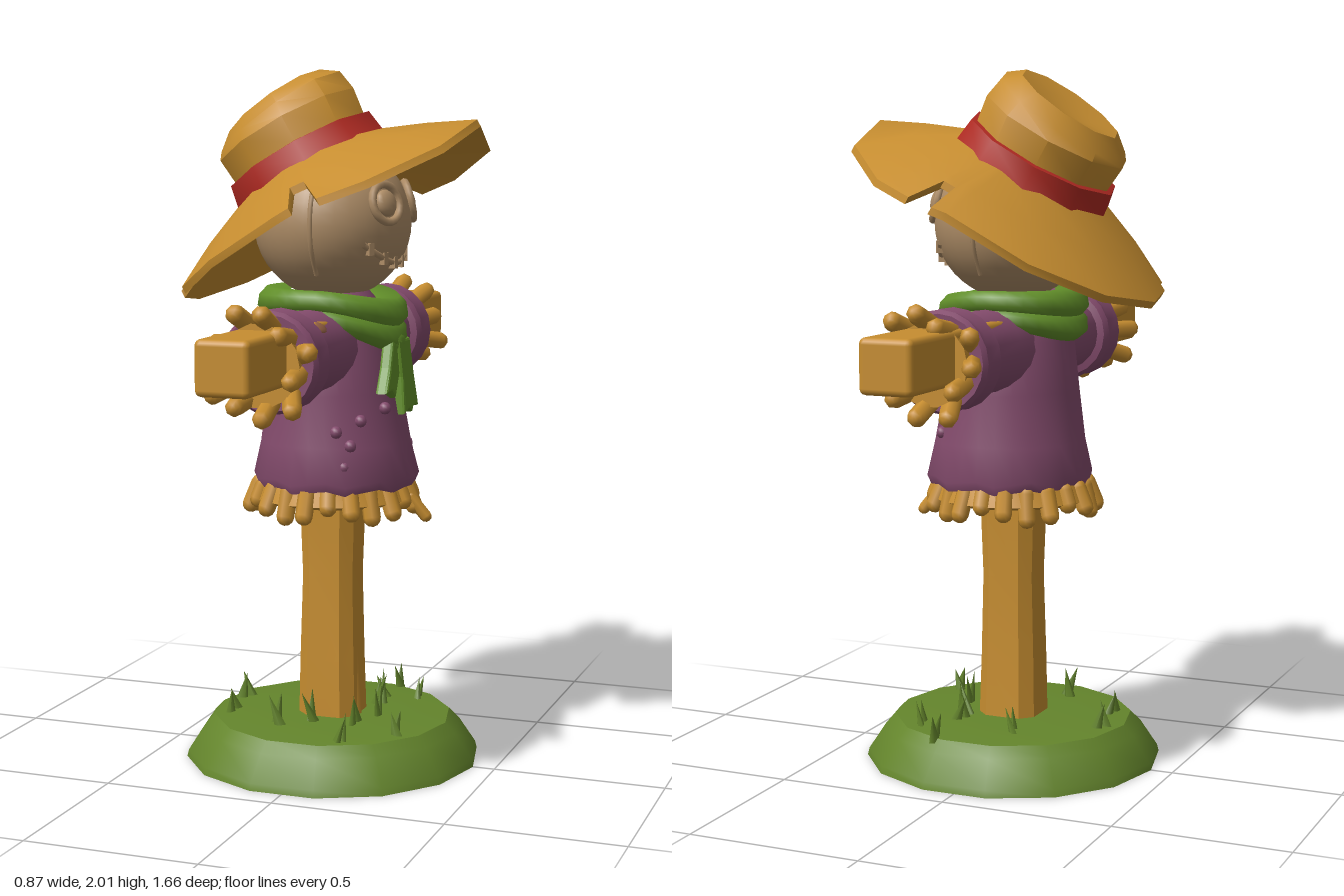
import * as THREE from 'three';
import { toCreasedNormals } from 'three/addons/utils/BufferGeometryUtils.js';
import { RoundedBoxGeometry } from 'three/addons/geometries/RoundedBoxGeometry.js';

const mat = (name, color, side = THREE.FrontSide) => {
  const m = new THREE.MeshStandardMaterial({ color, side });
  m.name = name;
  return m;
};

// Skin over closed rings of points, listed from bottom to top
function skin(rings, crease = 0.7) {
  const n = rings[0].length, pos = [], index = [];
  rings.forEach(r => r.forEach(p => pos.push(...p)));
  for (let i = 0; i < rings.length - 1; i++) {
    for (let j = 0; j < n; j++) {
      const a = i * n + j, b = i * n + (j + 1) % n;
      index.push(a, b, a + n, b, b + n, a + n);
    }
  }
  const g = new THREE.BufferGeometry();
  g.setAttribute('position', new THREE.Float32BufferAttribute(pos, 3));
  g.setIndex(index);
  return toCreasedNormals(g, crease);
}

// Elliptical ring; angle 0 faces +z
const ring = (n, y, rx, rz = rx, cz = 0) => Array.from({ length: n }, (_, j) => {
  const t = j / n * Math.PI * 2;
  return [Math.sin(t) * rx, y, Math.cos(t) * rz + cz];
});

export function createModel() {
  const straw = mat('straw', 0xc68d30);
  const cloth = mat('purple cloth', 0x834b6c);
  const sack = mat('sackcloth', 0xad8c66);
  const grass = mat('grass', 0x64852c);
  const scarfGreen = mat('scarf green', 0x628f2a);
  const red = mat('hat band red', 0xb02a22);
  const patchTan = mat('patch brown', 0x9a6548);

  const model = new THREE.Group();
  model.name = 'scarecrow';
  const figure = new THREE.Group(); // built facing +z, then turned to face +x
  figure.name = 'figure';
  figure.rotation.y = Math.PI / 2;
  model.add(figure);

  const add = (name, geo, material, parent = figure, x = 0, y = 0, z = 0) => {
    const m = new THREE.Mesh(geo, material);
    m.name = name;
    m.position.set(x, y, z);
    parent.add(m);
    return m;
  };
  const subgroup = (name, parent = figure) => {
    const g = new THREE.Group();
    g.name = name;
    parent.add(g);
    return g;
  };
  // Rounded strand between two points
  const UP = new THREE.Vector3(0, 1, 0);
  const strand = (name, from, to, w, material, parent) => {
    const a = new THREE.Vector3(...from), b = new THREE.Vector3(...to);
    const d = b.clone().sub(a), len = d.length();
    const m = add(name, new THREE.CapsuleGeometry(w, Math.max(len - 2 * w, 0.01), 3, 7), material, parent);
    m.position.copy(a).lerp(b, 0.5);
    m.quaternion.setFromUnitVectors(UP, d.normalize());
  };
  // Ragged ring of straw with alternating tips [radius, height]
  const ruffle = (parent, n, base, tips, w) => {
    for (let i = 0; i < n; i++) {
      const t = (i + 0.5) / n * Math.PI * 2, s = Math.sin(t), c = Math.cos(t);
      const tip = tips[i % tips.length];
      strand('strawTuft', [s * base[0], base[1], c * base[0]], [s * tip[0], tip[1], c * tip[0]], w, straw, parent);
    }
  };

  // Grassy base
  add('base', skin([ring(14, 0, 0), ring(14, 0, 0.435), ring(14, 0.02, 0.43), ring(14, 0.095, 0.38),
    ring(14, 0.125, 0.35), ring(14, 0.135, 0.22), ring(14, 0.13, 0)]), grass);
  const blades = subgroup('grassBlades');
  [[-0.02, 0.15, 0.08], [0.1, 0.12, 0.09], [0.15, 0.1, 0.06], [-0.12, 0.11, 0.07], [0.2, -0.08, 0.06],
    [-0.2, -0.1, 0.08], [0.33, 0.1, 0.05], [-0.28, 0.13, 0.06], [0.05, -0.3, 0.06], [-0.1, -0.28, 0.05],
    [0.22, 0.2, 0.05], [-0.16, 0.25, 0.05], [-0.14, -0.02, 0.08]].forEach(([x, z, h], i) => {
    for (const s of [-1, 1]) {
      const b = add('blade', new THREE.ConeGeometry(0.02, h + 0.03, 5), grass, blades, x + s * 0.014, 0.13 + h / 2, z);
      b.scale.z = 0.6;
      b.rotation.set(0.2 * Math.sin(i * 2), i, -s * 0.25);
    }
  });

  // Wooden post and crossbar, with a splinter
  const square = (y, w, cx = 0) => [[-0.6, 1], [0.6, 1], [1, 0.6], [1, -0.6], [0.6, -1], [-0.6, -1], [-1, -0.6], [-1, 0.6]]
    .map(([x, z]) => [x * w + cx, y, z * w]);
  add('post', skin([square(0.1, 0.088), square(0.3, 0.083, -0.003), square(0.55, 0.077), square(0.8, 0.085)], 0.6), straw);
  const splinter = add('splinter', new THREE.ConeGeometry(0.035, 0.32, 5), straw, figure, -0.015, 0.28, 0.075);
  splinter.scale.z = 0.6;
  add('crossbar', new RoundedBoxGeometry(1.66, 0.15, 0.155, 2, 0.018), straw, figure, 0, 1.245, 0);

  // Shirt body
  const N = 28;
  const hem = (y, r) => ring(N, y, r, r * 0.98, 0.012).map((p, j) => [p[0], p[1] + 0.008 * Math.sin(j * 2.1), p[2]]);
  add('shirt', skin([ring(N, 0.86, 0), ring(N, 0.84, 0.19), hem(0.825, 0.235), hem(0.85, 0.246),
    ring(N, 0.95, 0.226, 0.218, 0.01), ring(N, 1.1, 0.215, 0.193, 0.005), ring(N, 1.25, 0.2, 0.172),
    ring(N, 1.33, 0.165, 0.15), ring(N, 1.39, 0.1, 0.1), ring(N, 1.39, 0)]), cloth);
  const lumps = subgroup('shirtLumps');
  [[-0.19, 0.96], [-0.17, 1.03], [-0.21, 1.0], [-0.2, 0.9], [0.16, 0.98], [0.13, 1.06], [0.06, 0.94], [-0.05, 0.92], [-0.1, 1.06]]
    .forEach(([x, y]) => {
      const z = 0.205 * Math.sqrt(1 - (x / 0.226) ** 2) + 0.01;
      add('lump', new THREE.SphereGeometry(0.018, 8, 6), cloth, lumps, x, y, z);
    });

  // Straw under the hem
  const skirt = subgroup('strawSkirt');
  add('skirtRing', skin([ring(20, 0.79, 0), ring(20, 0.775, 0.22), ring(20, 0.785, 0.24), ring(20, 0.85, 0.215)]), straw, skirt);
  ruffle(skirt, 22, [0.205, 0.845], [[0.25, 0.735], [0.24, 0.76], [0.25, 0.745], [0.235, 0.725]], 0.026);
  strand('looseStraw', [0.02, 0.8, 0.22], [0.04, 0.715, 0.285], 0.018, straw, skirt);

  // Sleeves with straw cuffs, built along y and laid sideways
  const sleeve = [[0.135, 0.08], [0.118, 0.2], [0.11, 0.36], [0.112, 0.385], [0.132, 0.39], [0.142, 0.41],
    [0.132, 0.45], [0.142, 0.495], [0.132, 0.51], [0, 0.5]].map(p => new THREE.Vector2(...p));
  for (const s of [-1, 1]) {
    const arm = subgroup(s > 0 ? 'rightScreenArm' : 'leftScreenArm');
    arm.name = s > 0 ? 'leftArm' : 'rightArm';
    arm.position.y = 1.225;
    arm.rotation.z = -s * Math.PI / 2;
    add('sleeve', toCreasedNormals(new THREE.LatheGeometry(sleeve, 20), 0.7), cloth, arm);
    ruffle(arm, 11, [0.09, 0.49], [[0.165, 0.605], [0.12, 0.65], [0.15, 0.625]], 0.027);
    add('strawPlug', new THREE.CylinderGeometry(0.115, 0.095, 0.07, 14), straw, arm, 0, 0.535, 0);
    const patch = add('shoulderPatch', new THREE.SphereGeometry(0.03, 10, 6), patchTan, figure, s * 0.31, 1.305, 0.075);
    patch.scale.set(1.2, 0.7, 0.25);
    patch.rotation.x = -0.8;
  }

  // Scarf wrapped around the neck, drooping at the front
  const scarf = subgroup('scarf');
  const wrap = [[0.13, 0], [0.185, 0], [0.212, 0.15], [0.21, 0.38], [0.198, 0.48], [0.215, 0.62], [0.21, 0.85], [0.19, 1], [0.12, 0.95]];
  add('scarfWrap', skin(wrap.map(([r, k]) => ring(30, 0, r, r * 1.02).map(([x, , z], j) => {
    const c = Math.cos(j / 30 * Math.PI * 2);
    const low = 1.29 - (c > 0 ? 0.075 : 0.045) * c * c, high = 1.395 - 0.03 * Math.max(c, 0) ** 2;
    return [x, low + (high - low) * k, z];
  })), 1.2), scarfGreen, scarf);
  const tail = (name, pts, z, tilt) => {
    const shape = new THREE.Shape(pts.map(p => new THREE.Vector2(...p)));
    const g = new THREE.ExtrudeGeometry(shape, { depth: 0.02, bevelSize: 0.008, bevelThickness: 0.008, bevelSegments: 2 });
    add(name, g, scarfGreen, scarf, 0, 1.24, z).rotation.x = tilt;
  };
  tail('scarfTailLong', [[-0.03, 0], [0.05, 0], [0.07, -0.1], [0.095, -0.19], [0.06, -0.185], [0.045, -0.2], [0.02, -0.19], [-0.02, -0.2], [-0.015, -0.1]], 0.19, -0.06);
  tail('scarfTailShort', [[-0.06, 0], [0.01, 0], [-0.02, -0.08], [-0.06, -0.145], [-0.085, -0.125], [-0.13, -0.13], [-0.09, -0.07]], 0.18, -0.04);
  add('scarfKnot', new THREE.SphereGeometry(0.05, 14, 10), scarfGreen, scarf, -0.005, 1.24, 0.19).scale.set(1, 0.75, 0.6);

  // Sackcloth head
  const head = subgroup('head');
  head.position.y = 1.58;
  add('skull', new THREE.SphereGeometry(1, 32, 22), sack, head).scale.set(0.245, 0.222, 0.225);
  const faceZ = (x, y) => 0.225 * Math.sqrt(Math.max(0, 1 - (x / 0.245) ** 2 - (y / 0.222) ** 2));
  for (const s of [-1, 1]) {
    const eye = subgroup('eye', head);
    eye.position.set(s * 0.102, 0.06, faceZ(0.102, 0.06));
    eye.rotation.set(-0.25, s * 0.42, 0);
    add('eyeRim', new THREE.TorusGeometry(0.054, 0.012, 8, 20), sack, eye);
    add('eyeButton', new THREE.SphereGeometry(0.038, 14, 10), sack, eye).scale.z = 0.5;
    // side seam
    const seam = [-0.14, -0.05, 0.05, 0.12].map(y =>
      new THREE.Vector3(s * 0.245 * Math.sqrt(1 - (y / 0.222) ** 2), y, 0.02));
    add('sideSeam', new THREE.TubeGeometry(new THREE.CatmullRomCurve3(seam), 14, 0.007, 5), sack, head);
  }
  // Stitched grin
  const grinY = x => -0.112 + 2 * x * x;
  const grin = [-0.17, -0.12, -0.06, 0, 0.06, 0.12, 0.17].map(x => new THREE.Vector3(x, grinY(x), faceZ(x, grinY(x))));
  add('mouth', new THREE.TubeGeometry(new THREE.CatmullRomCurve3(grin), 24, 0.009, 6), sack, head);
  for (const x of [-0.15, -0.09, -0.03, 0.03, 0.09, 0.15]) {
    add('stitch', new THREE.BoxGeometry(0.018, 0.035, 0.02), sack, head, x, grinY(x), faceZ(x, grinY(x))).rotation.y = x * 4;
  }

  // Tilted hat
  const hat = subgroup('hat');
  hat.position.set(0, 1.7, -0.05);
  hat.rotation.x = -Math.PI / 6;
  // Brim outline: twelve corners plus three torn notches, as [angle, radius factor]
  const outline = [];
  for (let a = 0; a < 360; a += 30) if (a !== 210) outline.push([a, 1]);
  for (const a of [80, 280, 207]) outline.push([a - 4.5, 0.99], [a - 3, 0.79], [a + 3, 0.79], [a + 4.5, 0.99]);
  outline.sort((p, q) => p[0] - q[0]);
  const brimRing = (k, drop) => outline.map(([a, f]) => {
    const t = a * Math.PI / 180, s = Math.sin(t), c = Math.cos(t);
    const r = 0.23 + 0.27 * k * (f < 0.9 && k > 0.9 ? 0.6 : 1);
    const kk = (r - 0.23) / 0.27;
    const corner = c > 0 ? Math.abs(Math.sin(2 * t)) * 0.05 : 0.01;
    return [s * r * (1 - 0.07 * kk), 0.035 - 0.125 * kk ** 1.1 - corner * kk * kk - drop, c * r];
  });
  add('hatBrim', skin([brimRing(0, 0.03), brimRing(0.5, 0.03), brimRing(1, 0.022), brimRing(1, 0), brimRing(0.5, 0), brimRing(0, 0)]), straw, hat);
  add('hatBand', skin([ring(10, 0.015, 0.235), ring(10, 0.02, 0.247), ring(10, 0.09, 0.235), ring(10, 0.095, 0.21)]), red, hat);
  // Crown with a pinched top
  const pinch = (y, r) => ring(10, y, r * 0.93, r).map(([x, h, z]) => [x, h + 0.1 * z, z]);
  add('hatCrown', skin([ring(10, 0.02, 0.225), ring(10, 0.09, 0.218), ring(10, 0.17, 0.227), pinch(0.21, 0.215),
    pinch(0.25, 0.165), pinch(0.236, 0.08), ring(10, 0.232, 0)]), straw, hat);

  return model;
}
